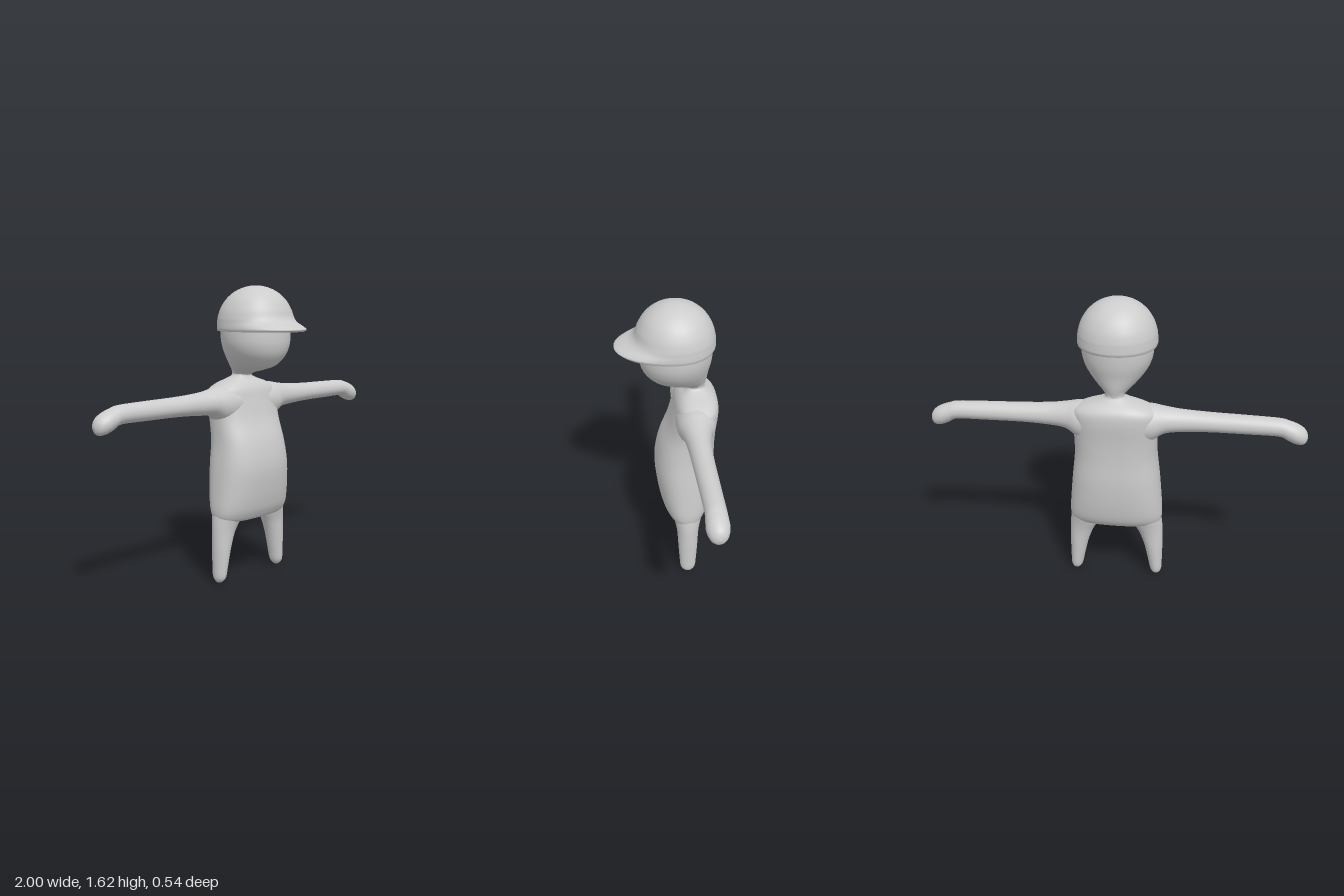
import * as THREE from 'three';

const SIDES = 48, STEPS = 5;

// Smoothly interpolate between the given cross-sections
function refine(rows) {
  const out = [];
  const at = (i) => rows[Math.min(Math.max(i, 0), rows.length - 1)];
  for (let i = 0; i < rows.length - 1; i++) {
    for (let k = 0; k < STEPS; k++) {
      const t = k / STEPS;
      out.push(rows[i].map((p1, c) => {
        const p0 = at(i - 1)[c], p2 = at(i + 1)[c], p3 = at(i + 2)[c];
        return p1 + 0.5 * t * (p2 - p0 + t * (2 * p0 - 5 * p1 + 4 * p2 - p3 + t * (3 * (p1 - p2) + p3 - p0)));
      }));
    }
  }
  out.push(rows[rows.length - 1]);
  return out;
}

// Loft through egg-shaped sections [s, centreU, radiusU, centreV, radiusV+, radiusV-].
// place() turns (s, u, v) into a position; power above 2 squares the section off.
function loft(rows, place, power = 2, mirror = false) {
  const rings = refine(rows), pos = [], idx = [], side = mirror ? -1 : 1;
  const add = (s, u, v) => {
    const [x, y, z] = place(s, u, v);
    pos.push(x * side, y, z);
    return pos.length / 3 - 1;
  };
  const tri = (a, b, c) => (mirror ? idx.push(a, c, b) : idx.push(a, b, c));
  const ring = ([s, cu, ru, cv, vp, vm]) => {
    const start = pos.length / 3;
    for (let j = 0; j < SIDES; j++) {
      const a = (j / SIDES) * Math.PI * 2, c = Math.cos(a), n = Math.sin(a);
      const u = Math.sign(c) * Math.abs(c) ** (2 / power);
      const v = Math.sign(n) * Math.abs(n) ** (2 / power);
      add(s, cu + u * Math.max(ru, 0), cv + v * Math.max(n > 0 ? vp : vm, 0));
    }
    return start;
  };
  const starts = rings.map(ring);
  for (let i = 0; i < starts.length - 1; i++) {
    for (let j = 0; j < SIDES; j++) {
      const k = (j + 1) % SIDES, a = starts[i], b = starts[i + 1];
      tri(a + j, b + j, a + k);
      tri(a + k, b + j, b + k);
    }
  }
  // Separate end caps keep their edges crisp
  for (const last of [false, true]) {
    const r = last ? rings[rings.length - 1] : rings[0];
    const start = ring(r), mid = add(r[0], r[1], r[3]);
    for (let j = 0; j < SIDES; j++) {
      const k = (j + 1) % SIDES;
      if (last) tri(mid, start + k, start + j);
      else tri(mid, start + j, start + k);
    }
  }
  const geo = new THREE.BufferGeometry();
  geo.setAttribute('position', new THREE.Float32BufferAttribute(pos, 3));
  geo.setIndex(idx);
  geo.computeVertexNormals();
  return geo;
}

const upright = (s, u, v) => [u, s, v];
const sideways = (s, u, v) => [s, v, u];

export function createModel() {
  const model = new THREE.Group();
  const grey = new THREE.MeshStandardMaterial({ color: 0xcccccc });
  grey.name = 'plain grey';
  const part = (name, geo) => {
    const mesh = new THREE.Mesh(geo, grey);
    mesh.name = name;
    model.add(mesh);
  };

  // Torso with a rounded belly, sloping shoulders and short neck
  part('torso', loft([
    [0.35, 0, 0.225, -0.09, 0.085, 0.085],
    [0.37, 0, 0.25, -0.095, 0.105, 0.105],
    [0.42, 0, 0.257, -0.095, 0.128, 0.132],
    [0.52, 0, 0.25, -0.095, 0.15, 0.152],
    [0.65, 0, 0.238, -0.095, 0.162, 0.163],
    [0.78, 0, 0.224, -0.1, 0.145, 0.156],
    [0.9, 0, 0.222, -0.125, 0.123, 0.135],
    [1.0, 0, 0.228, -0.14, 0.11, 0.13],
    [1.06, 0, 0.222, -0.145, 0.1, 0.123],
    [1.095, 0, 0.165, -0.15, 0.085, 0.1],
    [1.12, 0, 0.09, -0.15, 0.06, 0.07],
    [1.14, 0, 0.052, -0.15, 0.05, 0.05],
    [1.17, 0, 0.055, -0.15, 0.06, 0.052],
  ], upright, 2.5));

  // Head: full face in front, narrowing down to the nape
  part('head', loft([
    [1.14, 0, 0.048, -0.15, 0.05, 0.05],
    [1.155, 0, 0.056, -0.14, 0.075, 0.062],
    [1.175, 0, 0.08, -0.1, 0.115, 0.107],
    [1.2, 0, 0.113, -0.06, 0.14, 0.152],
    [1.25, 0, 0.155, -0.04, 0.165, 0.18],
    [1.3, 0, 0.179, -0.035, 0.178, 0.196],
    [1.35, 0, 0.188, -0.035, 0.182, 0.202],
    [1.42, 0, 0.188, -0.035, 0.18, 0.205],
  ], upright));

  // Cap: dome flowing into a front peak
  part('cap', loft([
    [1.383, 0, 0.205, -0.04, 0.3, 0.205],
    [1.395, 0, 0.209, -0.04, 0.312, 0.21],
    [1.41, 0, 0.209, -0.04, 0.285, 0.21],
    [1.43, 0, 0.207, -0.04, 0.235, 0.209],
    [1.455, 0, 0.204, -0.04, 0.208, 0.206],
    [1.5, 0, 0.19, -0.04, 0.19, 0.192],
    [1.55, 0, 0.16, -0.04, 0.16, 0.162],
    [1.59, 0, 0.116, -0.04, 0.116, 0.118],
    [1.613, 0, 0.07, -0.04, 0.07, 0.07],
    [1.623, 0, 0.03, -0.04, 0.03, 0.03],
    [1.625, 0, 0.001, -0.04, 0.001, 0.001],
  ], upright, 2.05));

  // Outstretched arms ending in drooping mitten hands
  const arm = [
    [0.1, -0.14, 0.105, 0.99, 0.1, 0.12],
    [0.19, -0.138, 0.1, 0.99, 0.1, 0.1],
    [0.26, -0.132, 0.078, 1.0, 0.077, 0.068],
    [0.35, -0.13, 0.062, 1.0, 0.065, 0.056],
    [0.5, -0.131, 0.056, 1.0, 0.057, 0.048],
    [0.7, -0.135, 0.053, 1.0, 0.053, 0.047],
    [0.85, -0.138, 0.052, 0.998, 0.05, 0.046],
    [0.9, -0.138, 0.055, 0.983, 0.053, 0.053],
    [0.94, -0.138, 0.056, 0.968, 0.054, 0.054],
    [0.975, -0.138, 0.044, 0.957, 0.045, 0.046],
    [0.993, -0.138, 0.025, 0.953, 0.026, 0.027],
    [1.0, -0.138, 0.001, 0.952, 0.001, 0.001],
  ];

  // Short tapering legs with rounded tips
  const leg = [
    [0.0, 0.232, 0.001, -0.1, 0.001, 0.001],
    [0.008, 0.231, 0.017, -0.1, 0.02, 0.02],
    [0.035, 0.229, 0.032, -0.1, 0.041, 0.041],
    [0.1, 0.223, 0.04, -0.1, 0.048, 0.048],
    [0.2, 0.212, 0.052, -0.1, 0.055, 0.055],
    [0.28, 0.197, 0.066, -0.1, 0.06, 0.06],
    [0.335, 0.18, 0.08, -0.1, 0.07, 0.07],
    [0.39, 0.165, 0.088, -0.1, 0.085, 0.085],
  ];

  for (const [name, mirror] of [['left', false], ['right', true]]) {
    part(name + 'Arm', loft(arm, sideways, 2, mirror));
    part(name + 'Leg', loft(leg, upright, 2, mirror));
  }
  return model;
}
